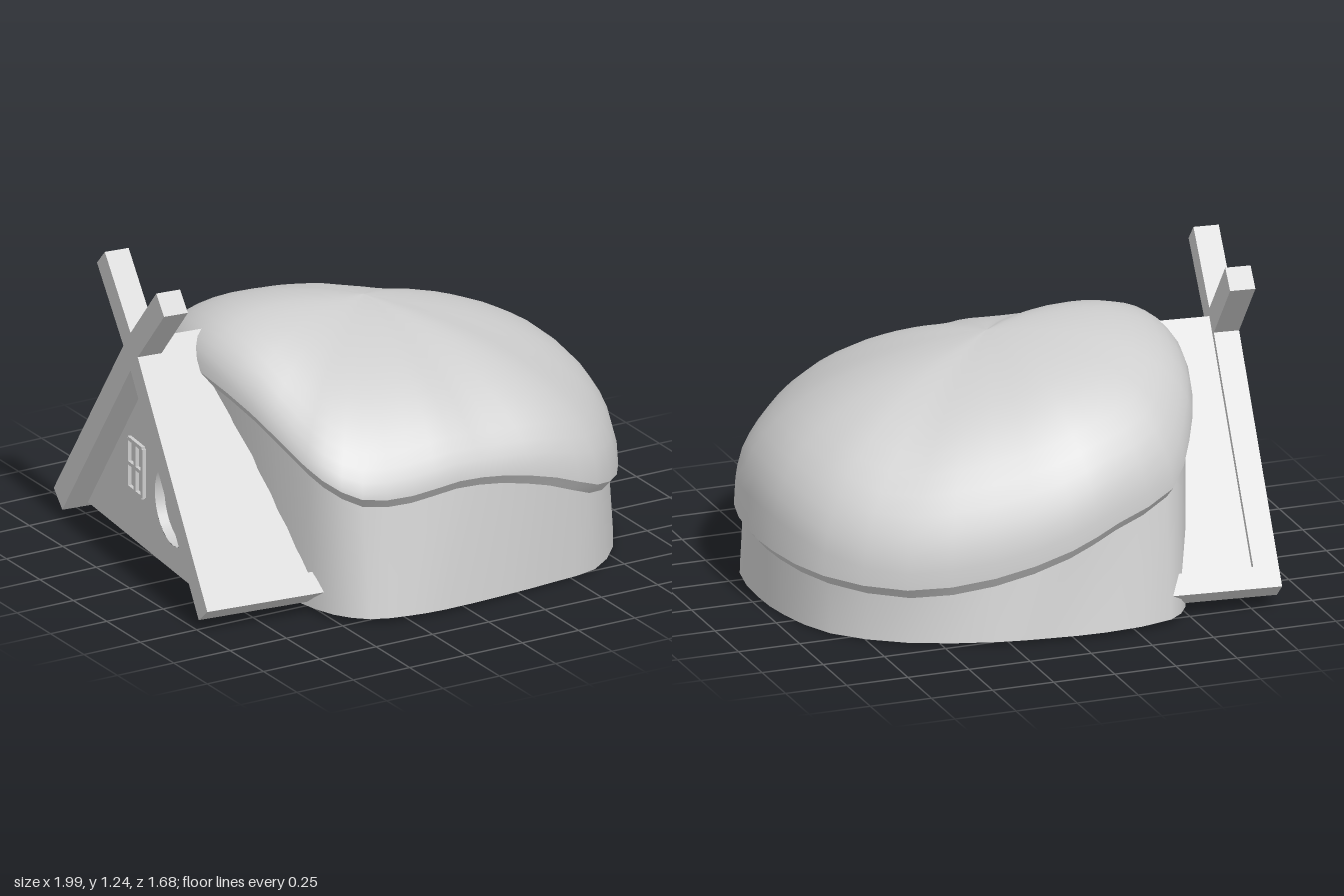
import * as THREE from 'three';

const material = new THREE.MeshStandardMaterial({ color: 0xcccccc, side: THREE.DoubleSide });

function addMesh(parent, name, geometry, x = 0, y = 0, z = 0) {
  const mesh = new THREE.Mesh(geometry, material);
  mesh.name = name;
  mesh.position.set(x, y, z);
  parent.add(mesh);
  return mesh;
}

// Smooth skin over closed rings of points, listed from bottom to top
function loft(rings) {
  const n = rings[0].length, index = [];
  for (let j = 0; j < rings.length - 1; j++) {
    for (let i = 0; i < n; i++) {
      const k = (i + 1) % n;
      const a = j * n + i, b = a + n, c = j * n + k, d = c + n;
      index.push(a, b, c, b, d, c);
    }
  }
  const g = new THREE.BufferGeometry().setFromPoints(rings.flat());
  g.setIndex(index);
  g.computeVertexNormals();
  return g;
}

// Roof rim (x, y, z) and wall foot (x, z), going round from +x through +z
const OUTLINE = [
  [.99, .23, .08, .96, .05], [.95, .24, .33, .93, .32], [.8, .27, .61, .8, .58],
  [.62, .32, .77, .62, .75], [.42, .4, .8, .42, .79], [.2, .45, .79, .18, .82],
  [0, .465, .785, -.1, .84], [-.2, .44, .77, -.25, .83], [-.4, .45, .73, -.4, .79],
  [-.52, .52, .63, -.5, .68], [-.575, .6, .48, -.55, .5], [-.63, .7, .28, -.57, .3],
  [-.69, .785, .03, -.57, 0], [-.69, .785, -.18, -.57, -.25], [-.645, .72, -.4, -.55, -.5],
  [-.57, .6, -.56, -.5, -.7], [-.45, .47, -.7, -.4, -.81], [-.2, .39, -.78, -.12, -.845],
  [0, .31, -.805, .1, -.82], [.3, .22, -.76, .3, -.78], [.62, .18, -.66, .62, -.65],
  [.88, .2, -.44, .85, -.44], [.98, .22, -.16, .94, -.18],
];

// Fullness of the dome every 45 degrees, from +x through +z
const FULLNESS = [3, 2.2, 1.6, 1.4, 2.1, 1.8, 1.85, 1.9];

function fullness(angle) {
  const f = ((angle / (Math.PI / 4)) + 8) % 8, i = Math.floor(f);
  return THREE.MathUtils.lerp(FULLNESS[i], FULLNESS[(i + 1) % 8],
    THREE.MathUtils.smoothstep(f - i, 0, 1));
}

function buildMound(parent) {
  const sample = (pts) => {
    const curve = new THREE.CatmullRomCurve3(pts, true);
    return Array.from({ length: 46 }, (_, i) => curve.getPoint(i / 46));
  };
  const rim = sample(OUTLINE.map(([x, y, z]) => new THREE.Vector3(x, y, z)));
  const foot = sample(OUTLINE.map(([, , , x, z]) =>
    new THREE.Vector3(x, Math.max(0, .015 - .015 * x), z)));
  const cx = .05, cz = -.02;
  const scaled = (s, dy) => rim.map((p) =>
    new THREE.Vector3(cx + (p.x - cx) * s, p.y + dy, cz + (p.z - cz) * s));

  // Dome: superelliptic rise from the wavy rim to a sloping crown
  const domeRing = (t) => {
    const r = Math.cos(t * Math.PI / 2);
    return scaled(r, .04).map((p, i) => {
      const power = fullness(Math.atan2(rim[i].z - cz, rim[i].x - cx));
      const rise = Math.pow(1 - Math.pow(r, power), 1 / power);
      const crown = 1 - .21 * p.x;
      p.y += (crown - p.y) * rise;
      return p;
    });
  };
  const steps = 14;
  const dome = Array.from({ length: steps + 1 }, (_, j) => domeRing(j / steps));

  addMesh(parent, 'wall', loft([foot, scaled(.965, 0)]));
  addMesh(parent, 'roofLip', loft([scaled(.965, 0), scaled(1, .04)]));
  addMesh(parent, 'domedRoof', loft(dome));
}

// Centre line of a porch beam in (z, y): foot, crossing on the ridge, tip
const FOOT = [.665, .07], CROSS = [0, .92], TIP = [-.272, 1.205];
const SLOPE = Math.hypot(FOOT[0], CROSS[1] - FOOT[1]);
const DIR = [-FOOT[0] / SLOPE, (CROSS[1] - FOOT[1]) / SLOPE];
const onSlope = (t, off) =>
  [FOOT[0] + DIR[0] * t + DIR[1] * off, FOOT[1] + DIR[1] * t - DIR[0] * off];
const onRidge = (off) => [0, CROSS[1] - off / DIR[0]];

const polygon = (pts) => new THREE.Shape(pts.map((p) => new THREE.Vector2(...p)));
const mirrored = (pts, s) => pts.map(([z, y]) => [s * z, y]);

// Extrudes a polygon in the (z, y) plane along +x
function extrudeX(pts, depth) {
  return new THREE.ExtrudeGeometry(polygon(pts), { depth, bevelEnabled: false })
    .rotateY(Math.PI / 2);
}

function buildPorch(parent) {
  const porch = new THREE.Group();
  porch.name = 'porch';
  porch.position.set(-.925, 0, -.12);
  porch.rotation.y = -.107;
  parent.add(porch);

  // Roof slabs, running deep into the mound
  const depth = .75;
  const [a, b] = [onSlope(0, .025), onSlope(0, -.025)];
  addMesh(porch, 'porchRoof', extrudeX(
    [b, a, onRidge(.025), ...mirrored([a, b], -1), onRidge(-.025)], depth), .1);

  // Crossed beams, bent slightly at the crossing, and thick eaves
  const eave = [onSlope(0, -.05), onSlope(0, .05), onSlope(.0875, .05), onSlope(.0875, -.05)];
  const beam = [onSlope(0, -.05), onSlope(0, .05), [.0375, .953],
    [TIP[0] + .036, TIP[1] + .035], [TIP[0] - .036, TIP[1] - .035], [-.0375, .887]];
  for (const s of [1, -1]) {
    addMesh(porch, 'eave', extrudeX(mirrored(eave, s), depth), .1);
    addMesh(porch, 'crossedBeam', extrudeX(mirrored(beam, s), .1));
  }

  // Thin gable wall with a round doorway and a small window
  const door = { z: .17, y: .33, r: .165 }, win = { z: -.15, y: .37, w: .13, h: .2 };
  const gable = polygon([[-.64, .06], [.64, .06], [0, .89]]);
  gable.holes.push(new THREE.Path().absarc(-door.z, door.y, door.r, 0, Math.PI * 2, true));
  addMesh(porch, 'gableWall', new THREE.ShapeGeometry(gable, 32).rotateY(-Math.PI / 2)
    .scale(1, 1, -1), .1);

  // Door set back in a round reveal
  addMesh(porch, 'doorReveal', new THREE.CylinderGeometry(door.r, door.r, .04, 32, 1, true)
    .rotateZ(Math.PI / 2), .12, door.y, door.z);
  addMesh(porch, 'roundDoor',
    new THREE.CircleGeometry(door.r, 32).rotateY(-Math.PI / 2), .14, door.y, door.z);
  addMesh(porch, 'doorKnob', new THREE.SphereGeometry(.03, 16, 12), .115, door.y, door.z + .06);

  // Window bars: three uprights and three rails
  for (const s of [-1, 0, 1]) {
    addMesh(porch, 'windowUpright', new THREE.BoxGeometry(.02, win.h, .015),
      .095, win.y, win.z + s * win.w / 2);
    addMesh(porch, 'windowRail', new THREE.BoxGeometry(.02, .015, win.w),
      .095, win.y + s * win.h / 2, win.z);
  }
}

export function createModel() {
  const house = new THREE.Group();
  house.name = 'moundHouse';
  buildMound(house);
  buildPorch(house);
  return house;
}
